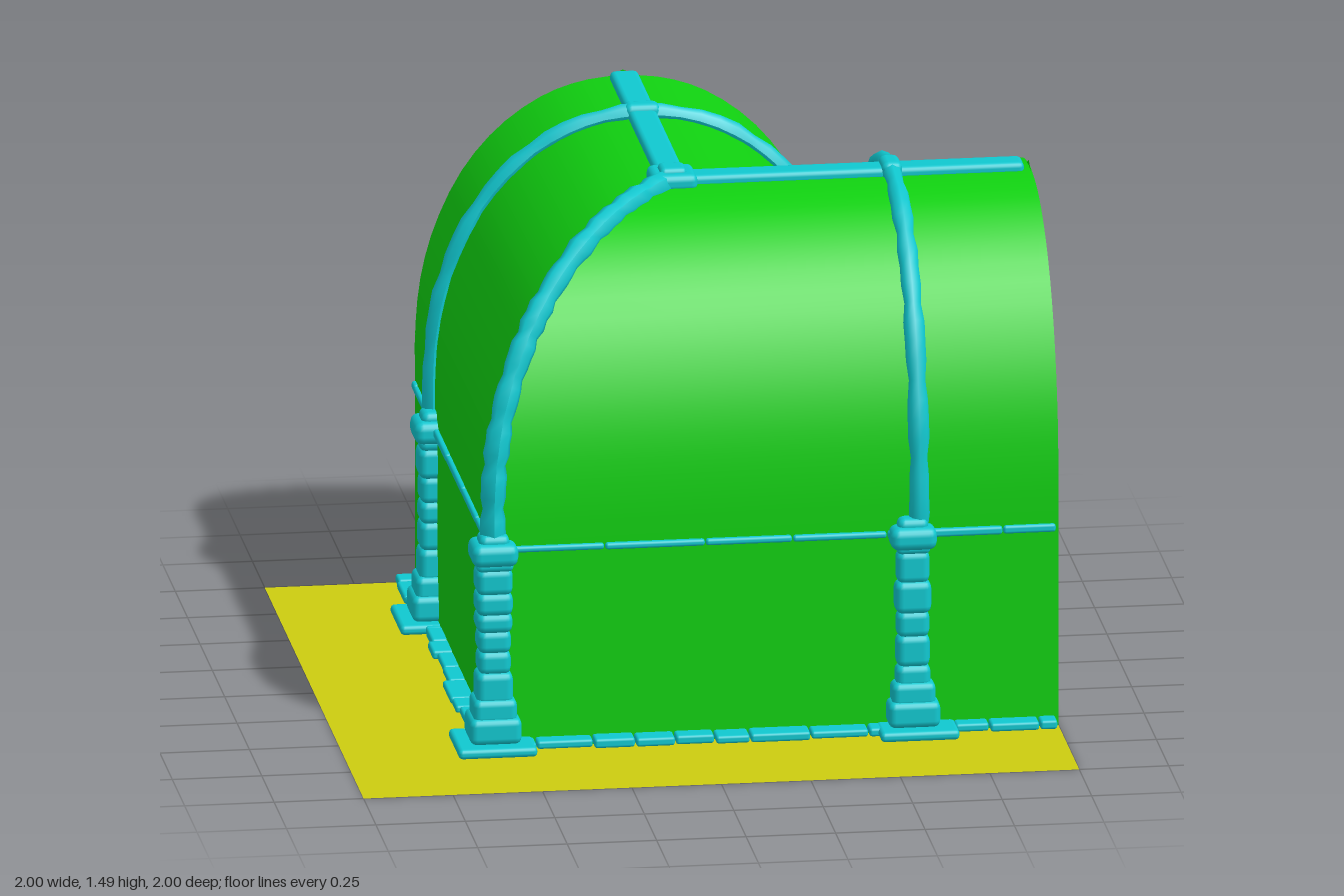
import * as THREE from 'three';
import { RoundedBoxGeometry } from 'three/addons/geometries/RoundedBoxGeometry.js';

const W = 0.58;        // half width of the passage
const SPRING = 0.57;   // height where the vault starts
const mat = (color) => new THREE.MeshStandardMaterial({ color, side: THREE.DoubleSide });

export function createModel() {
  const model = new THREE.Group();
  const green = mat(0x10d010), cyan = mat(0x10c8d0), yellow = mat(0xcccc10);
  let seed = 7;
  const rand = (a, b) => {
    seed = (seed * 16807) % 2147483647;
    return a + (b - a) * seed / 2147483647;
  };
  const add = (name, geo, material, x = 0, y = 0, z = 0, parent = model) => {
    const mesh = new THREE.Mesh(geo, material);
    mesh.name = name;
    mesh.position.set(x, y, z);
    parent.add(mesh);
    return mesh;
  };
  const group = (name) => {
    const g = new THREE.Group();
    g.name = name;
    model.add(g);
    return g;
  };
  const block = (w, h, d, r) => new RoundedBoxGeometry(w, h, d, 2, Math.min(r, w / 2.1, h / 2.1, d / 2.1));

  // Half profile of the vault, from the spring line to the ridge
  const half = new THREE.CatmullRomCurve3([
    [W, SPRING], [W, 0.72], [0.565, 0.88], [0.525, 1.03], [0.45, 1.185],
    [0.35, 1.305], [0.23, 1.39], [0.12, 1.43], [0, 1.445],
  ].map(([u, y]) => new THREE.Vector3(u, y, 0))).getPoints(20).map((p) => [p.x, p.y]);
  const vaultProfile = [...half.map(([u, y]) => [-u, y]), ...half.slice(0, -1).reverse()];

  // One arm of the L: a profile swept from the mitre to the open end
  const arm = (profile, alongX) => {
    const pos = [], idx = [];
    profile.forEach(([u, y], i) => {
      if (alongX) pos.push(-u, y, u, 1, y, u);
      else pos.push(-u, y, -1, -u, y, u);
      if (i) {
        const a = 2 * i - 2;
        idx.push(a, a + 2, a + 1, a + 2, a + 3, a + 1);
      }
    });
    const g = new THREE.BufferGeometry();
    g.setAttribute('position', new THREE.Float32BufferAttribute(pos, 3));
    g.setIndex(idx);
    g.computeVertexNormals();
    return g;
  };
  for (const alongX of [true, false]) {
    add('vault', arm(vaultProfile, alongX), green);
    add('innerWall', arm([[-W, 0], [-W, SPRING]], alongX), green);
    add('outerWall', arm([[W, SPRING], [W, 0]], alongX), green);
  }

  // End walls with a peaked doorway
  const end = new THREE.Shape();
  [[-0.57, 0], [-0.27, 0], [-0.27, SPRING], [0, 0.735], [0.27, SPRING], [0.27, 0], [0.57, 0],
    [0.58, 0.72], [0.55, 0.93], [0.435, 1.19], [0.27, 1.335], [0, 1.46],
    [-0.27, 1.335], [-0.435, 1.19], [-0.55, 0.93], [-0.58, 0.72],
  ].forEach(([x, y], i) => (i ? end.lineTo(x, y) : end.moveTo(x, y)));
  const endGeo = new THREE.ShapeGeometry(end);
  add('sideEndWall', endGeo, green, 0.997, 0, 0).rotation.y = Math.PI / 2;
  add('backEndWall', endGeo, green, 0, 0, -0.997).rotation.y = Math.PI;

  // Floor
  add('floor', new THREE.PlaneGeometry(2, 2), yellow).rotation.x = -Math.PI / 2;

  // Rough stone rib: a tube whose rings vary in thickness
  const rib = (name, points, radius) => {
    const curve = new THREE.CatmullRomCurve3(points);
    const rings = 44, sides = 8;
    const geo = new THREE.TubeGeometry(curve, rings, radius, sides);
    const p = geo.attributes.position, v = new THREE.Vector3();
    for (let i = 0; i <= rings; i++) {
      const c = curve.getPointAt(i / rings);
      const s = i % 4 === 0 ? 0.85 : rand(0.95, 1.12);
      for (let j = 0; j <= sides; j++) {
        const k = i * (sides + 1) + j;
        v.fromBufferAttribute(p, k).sub(c).multiplyScalar(s).add(c);
        p.setXYZ(k, v.x, v.y, v.z);
      }
    }
    geo.computeVertexNormals();
    add(name, geo, cyan);
  };
  const sparse = (list) => list.filter((_, i) => i % 2 === 0);
  rib('sideArchRib', sparse(vaultProfile).map(([u, y]) => new THREE.Vector3(0.61, y + 0.008, u * 1.01)), 0.027);
  rib('backArchRib', sparse(vaultProfile).map(([u, y]) => new THREE.Vector3(u * 1.01, y + 0.008, -0.615)), 0.027);
  rib('cornerRib', sparse(half).map(([u, y]) => new THREE.Vector3(-u, y, u)), 0.034);

  // Ridge beams and bosses
  add('sideRidgeBeam', block(0.94, 0.036, 0.08, 0.015), cyan, 0.51, 1.447, 0);
  add('backRidgeBeam', block(0.08, 0.036, 0.94, 0.015), cyan, 0, 1.447, -0.51);
  add('centreBoss', block(0.13, 0.05, 0.13, 0.02), cyan, 0, 1.45, 0);
  add('centreBossTop', block(0.075, 0.04, 0.075, 0.015), cyan, 0, 1.468, 0);
  add('sideBoss', block(0.058, 0.06, 0.1, 0.02), cyan, 0.61, 1.452, 0);
  add('backBoss', block(0.1, 0.06, 0.058, 0.02), cyan, 0, 1.452, -0.615);

  // Pillars: plinth, stepped base, rough shaft of drums and a rounded cap
  const pillar = (x, z, px, pz) => {
    const g = group('pillar');
    add('plinth', block(0.22, 0.028, 0.22, 0.012), cyan, px, 0.016, pz, g);
    add('base', block(0.145, 0.075, 0.145, 0.02), cyan, x, 0.065, z, g);
    add('baseTop', block(0.122, 0.07, 0.122, 0.02), cyan, x, 0.12, z, g);
    let y = 0.14;
    while (y < 0.53) {
      const h = Math.min(rand(0.05, 0.09), 0.55 - y), w = rand(0.092, 0.106);
      add('shaftStone', block(w, h + 0.008, w, 0.022), cyan, x, y + h / 2, z, g);
      y += h;
    }
    add('cap', block(0.13, 0.065, 0.13, 0.025), cyan, x, 0.57, z, g);
    add('capTop', block(0.085, 0.05, 0.085, 0.02), cyan, x, 0.6, z, g);
  };
  pillar(-0.58, 0.58, -0.58, 0.58);
  pillar(0.59, 0.58, 0.6, 0.58);
  pillar(-0.58, -0.59, -0.58, -0.6);
  pillar(0.575, -0.575, 0.55, -0.55);

  // Foot stones and cornice following each wall to the open ends
  const run = (from, fixed, alongX) => {
    const g = group('wallTrim');
    const place = (name, t, len, h, y, thick) => {
      const c = alongX ? t + len / 2 : -t - len / 2;
      add(name, alongX ? block(len, h, thick, 0.008) : block(thick, h, len, 0.008), cyan,
        alongX ? c : fixed, y, alongX ? fixed : c, g);
    };
    for (let t = from; t < 0.98;) {
      const len = Math.min(rand(0.08, 0.17), 0.995 - t);
      place('footStone', t, len - 0.004, rand(0.02, 0.028), 0.016, rand(0.08, 0.13));
      t += len;
    }
    for (let t = from; t < 0.98;) {
      const len = Math.min(rand(0.2, 0.35), 0.995 - t);
      place('corniceStone', t, len - 0.003, rand(0.018, 0.024), 0.574, rand(0.02, 0.03));
      t += len;
    }
  };
  for (const alongX of [true, false]) {
    run(-W, alongX ? W : -W, alongX);
    run(W, alongX ? -W : W, alongX);
  }
  return model;
}
